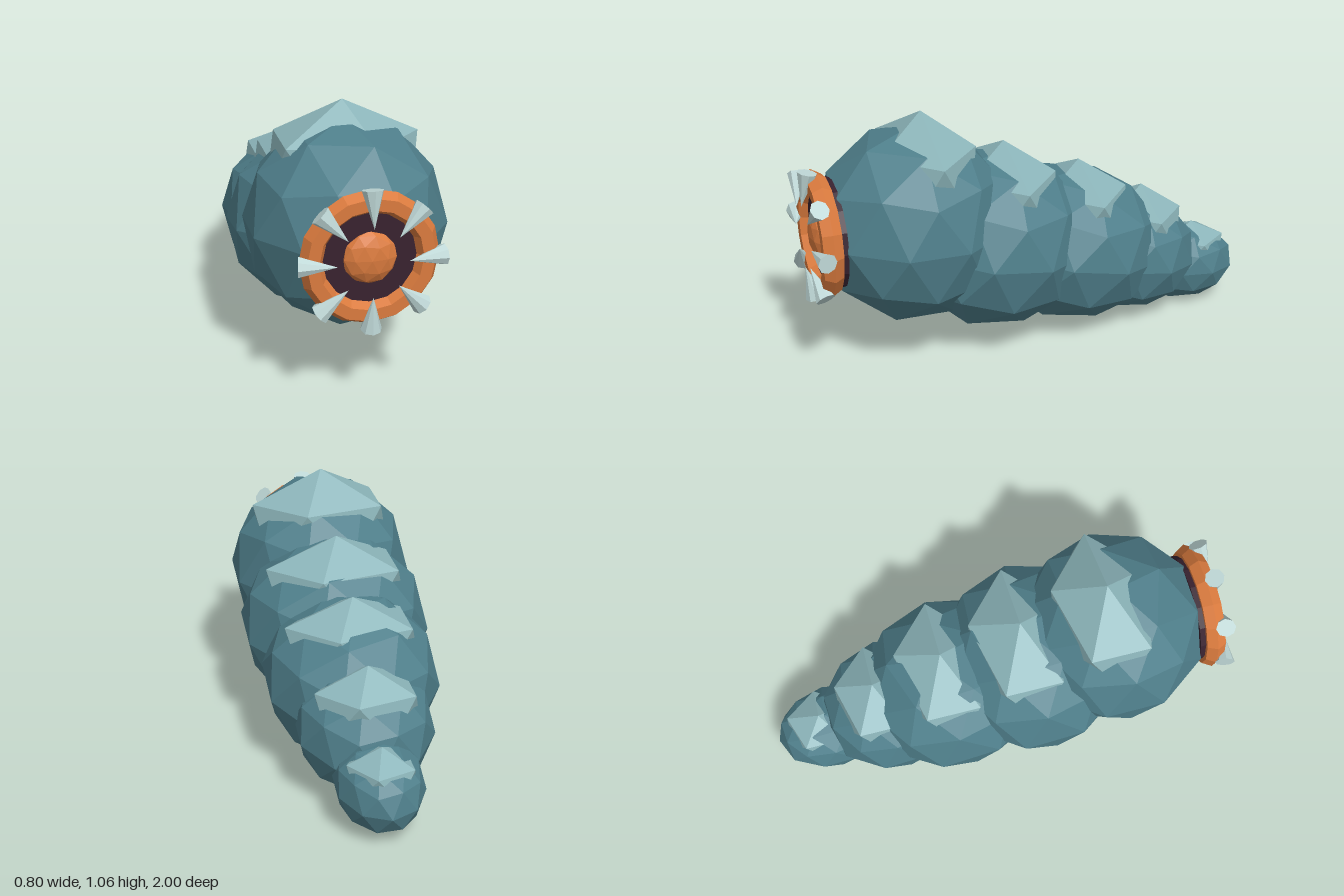
import * as THREE from 'three';

const mat = (name, color) => {
  const m = new THREE.MeshStandardMaterial({ color, flatShading: true });
  m.name = name;
  return m;
};

// Icosphere with a vertex at the top and its upper pentagon pointing to +x
function icosphere(detail) {
  const g = new THREE.IcosahedronGeometry(1, detail);
  g.rotateX(-Math.atan((1 + Math.sqrt(5)) / 2));
  g.rotateY(Math.PI / 2);
  return g;
}

export function createModel() {
  const skin = mat('teal skin', 0x4f7f8b);
  const shell = mat('pale shell', 0x8cb5ba);
  const lip = mat('orange lip', 0xdb7b3e);
  const gullet = mat('dark gullet', 0x38222f);
  const bone = mat('pale tooth', 0xc0d9d8);

  const root = new THREE.Group();
  root.name = 'grub';
  const add = (parent, name, geometry, material, pos, scale = [1, 1, 1]) => {
    const mesh = new THREE.Mesh(geometry, material);
    mesh.name = name;
    mesh.position.set(...pos);
    mesh.scale.set(...scale);
    parent.add(mesh);
    return mesh;
  };

  // Body segments: y, z, radii x y z, backward tilt; then plate apex y, z, radii x y z
  const segments = [
    [0.585, 0.525, 0.41, 0.425, 0.415, 0.02, 1.07, 0.475, 0.347, 0.27, 0.24],
    [0.46, 0.175, 0.42, 0.39, 0.42, 0.14, 0.89, 0.115, 0.345, 0.24, 0.235],
    [0.375, -0.19, 0.38, 0.345, 0.42, 0.21, 0.755, -0.23, 0.32, 0.21, 0.22],
    [0.285, -0.465, 0.294, 0.265, 0.32, 0.18, 0.59, -0.535, 0.245, 0.19, 0.19],
    [0.18, -0.75, 0.185, 0.175, 0.25, 0.1, 0.365, -0.795, 0.158, 0.12, 0.165],
  ];
  const round = icosphere(1), coarse = icosphere(0);
  segments.forEach(([y, z, rx, ry, rz, tilt, py, pz, px, ph, pd], i) => {
    const body = add(root, `bodySegment${i + 1}`, round, skin, [0, y, z], [rx, ry, rz]);
    body.rotation.x = -tilt;
    add(root, `backPlate${i + 1}`, coarse, shell, [0, py - ph, pz], [px, ph, pd]);
  });

  // Mouth: dark disc, lip ring and tongue
  const mouth = new THREE.Group();
  mouth.name = 'mouth';
  mouth.position.set(0, 0.588, 0);
  root.add(mouth);
  const disc = new THREE.CylinderGeometry(0.225, 0.235, 0.07, 16).rotateX(Math.PI / 2);
  add(mouth, 'gullet', disc, gullet, [0, 0, 0.892]);
  add(mouth, 'lipRing', new THREE.TorusGeometry(0.225, 0.047, 6, 16), lip, [0, 0, 0.922]);
  add(mouth, 'tongue', round, lip, [0, 0, 0.923], [0.107, 0.107, 0.045]);

  // Eight teeth pointing inward and slightly forward
  const base = new THREE.Vector3(0, 0.28, 0.957);
  const tip = new THREE.Vector3(0, 0.137, 0.99);
  const axis = tip.clone().sub(base);
  const cone = new THREE.ConeGeometry(0.042, axis.length(), 8);
  cone.applyQuaternion(new THREE.Quaternion().setFromUnitVectors(
    new THREE.Vector3(0, 1, 0), axis.clone().normalize()));
  cone.translate(...base.clone().add(tip).multiplyScalar(0.5).toArray());
  for (let i = 0; i < 8; i++) {
    add(mouth, `tooth${i + 1}`, cone, bone, [0, 0, 0]).rotation.z = i * Math.PI / 4;
  }
  return root;
}
